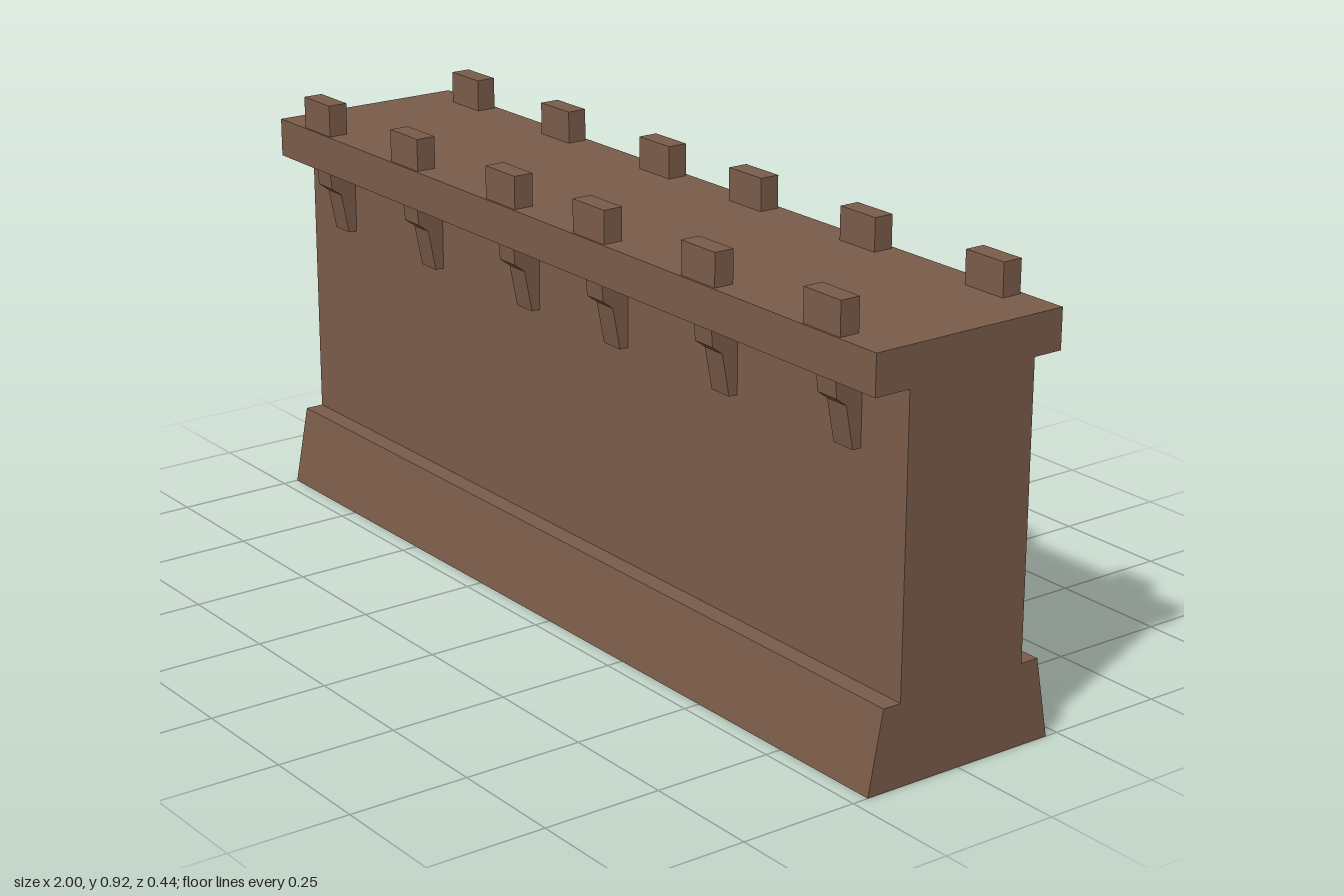
import * as THREE from 'three';

export function createModel() {
  const group = new THREE.Group();
  group.name = 'battlementWall';
  const stone = new THREE.MeshStandardMaterial({ color: 0x7a5c4a, side: THREE.DoubleSide, flatShading: true });
  stone.name = 'brown stone';

  const add = (geometry, name) => {
    const mesh = new THREE.Mesh(geometry, stone);
    mesh.name = name;
    group.add(mesh);
    return mesh;
  };

  // Wall cross-section as [z, y]: plinth, shaft and cornice, open underneath
  const section = [
    [-0.222, 0], [-0.191, 0.168], [-0.151, 0.168], [-0.151, 0.766], [-0.215, 0.766], [-0.215, 0.848],
    [0.223, 0.848], [0.223, 0.766], [0.144, 0.766], [0.144, 0.168], [0.184, 0.168], [0.216, 0],
  ];
  const positions = [];
  for (let i = 0; i < section.length - 1; i++) {
    const [z0, y0] = section[i], [z1, y1] = section[i + 1];
    positions.push(-1, y0, z0, -1, y1, z1, 1, y1, z1);
    positions.push(-1, y0, z0, 1, y1, z1, 1, y0, z0);
  }
  // End faces
  const points = section.map(([z, y]) => new THREE.Vector2(z, y));
  const triangles = THREE.ShapeUtils.triangulateShape(points, []);
  const clockwise = THREE.ShapeUtils.isClockWise(points);
  for (const end of [-1, 1]) {
    for (const [a, b, c] of triangles) {
      // In (z, y) a clockwise triangle faces +x
      const order = clockwise === (end > 0) ? [a, b, c] : [a, c, b];
      for (const k of order) positions.push(end, points[k].y, points[k].x);
    }
  }
  const shell = new THREE.BufferGeometry();
  shell.setAttribute('position', new THREE.Float32BufferAttribute(positions, 3));
  shell.computeVertexNormals();
  add(shell, 'wall');

  // Corbel silhouette, measured outwards from the wall centre
  const corbelShape = new THREE.Shape([
    [0.14, 0.62], [0.166, 0.62], [0.183, 0.707], [0.206, 0.724], [0.21, 0.768], [0.14, 0.768],
  ].map(([x, y]) => new THREE.Vector2(x, y)));
  const corbel = new THREE.ExtrudeGeometry(corbelShape, { depth: 0.053, bevelEnabled: false });
  corbel.translate(0, 0, -0.0265);
  const merlon = new THREE.BoxGeometry(0.102, 0.07, 0.043);

  // Merlons on the parapet and corbels under it, along both sides
  for (const x of [-0.853, -0.507, -0.153, 0.147, 0.491, 0.847]) {
    for (const side of [1, -1]) {
      const name = side > 0 ? 'front' : 'back';
      add(merlon, name + 'Merlon').position.set(x, 0.881, side * 0.191 + 0.006);
      const bracket = add(corbel, name + 'Corbel');
      bracket.rotation.y = -side * Math.PI / 2;
      bracket.position.set(x, 0, -0.003);
    }
  }
  return group;
}
